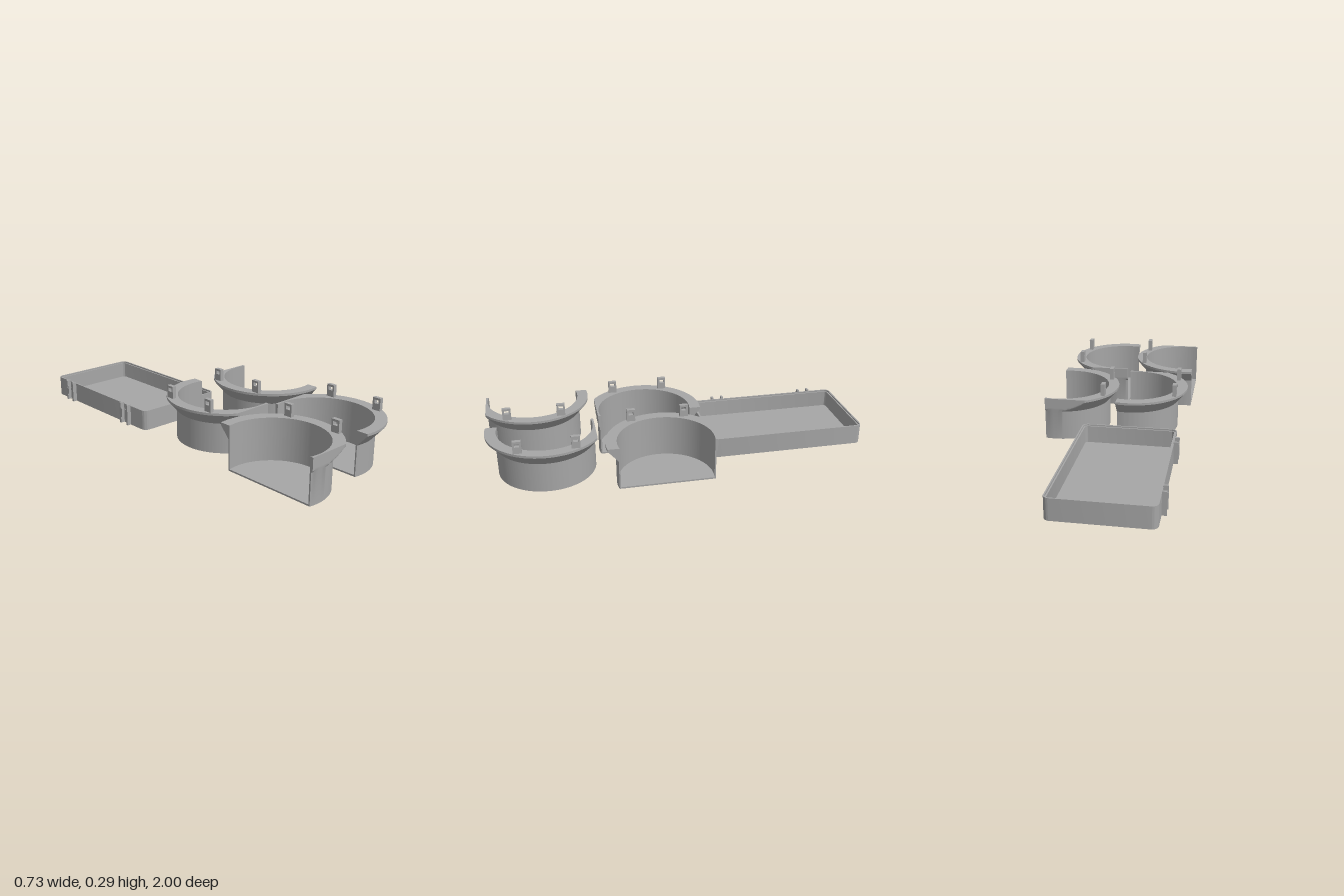
import * as THREE from 'three';
import { toCreasedNormals } from 'three/addons/utils/BufferGeometryUtils.js';

const grey = new THREE.MeshStandardMaterial({ color: 0xa6a6a6 });
grey.name = 'grey plastic';

const CUT = -0.052;   // open flat side of a cup, in x
const CLIP = 0.252;   // where the flange is trimmed, in z
const R_IN = 0.243, R_OUT = 0.25, R_RIM = 0.3;
const H = 0.225, CONE_Y = 0.155, RIM_Y = 0.213;

function add(parent, name, geometry, x = 0, y = 0, z = 0) {
  const mesh = new THREE.Mesh(geometry, grey);
  mesh.name = name;
  mesh.position.set(x, y, z);
  parent.add(mesh);
  return mesh;
}

// Shape in plan (shape y = -z) raised to a height
function raise(shape, height) {
  const g = new THREE.ExtrudeGeometry(shape, { depth: height, bevelEnabled: false, curveSegments: 48 });
  g.rotateX(-Math.PI / 2);
  return toCreasedNormals(g, 0.5);
}

// Closed wall section as [radius, y]; the cone is split into rows
function wallProfile() {
  const p = [[R_OUT, 0]];
  for (let i = 0; i <= 6; i++) {
    const t = i / 6;
    p.push([R_OUT + (R_RIM - R_OUT) * t, CONE_Y + (RIM_Y - CONE_Y) * t]);
  }
  p.push([R_RIM, H], [R_IN, H], [R_IN, 0], [R_OUT, 0]);
  return p;
}

// Wall swept round the arc, trimmed by the plane z = side * CLIP
function wallGeometry(side) {
  const profile = wallProfile(), n = 120, pos = [], idx = [];
  const trim = z => side > 0 ? Math.min(z, CLIP) : Math.max(z, -CLIP);
  for (let i = 0; i <= n; i++) {
    for (const [r, y] of profile) {
      const a = Math.acos(CUT / r) * (2 * i / n - 1);
      pos.push(r * Math.cos(a), y, trim(r * Math.sin(a)));
    }
  }
  const m = profile.length;
  for (let i = 0; i < n; i++) {
    for (let j = 0; j < m - 1; j++) {
      const a = i * m + j, b = a + 1, c = a + m, d = c + 1;
      idx.push(a, b, c, b, d, c);
    }
  }
  const g = new THREE.BufferGeometry();
  g.setAttribute('position', new THREE.Float32BufferAttribute(pos, 3));
  g.setIndex(idx);
  return toCreasedNormals(g, 0.5);
}

// Flat end face of the wall on the open side
function endGeometry(end, side) {
  const pts = wallProfile().slice(0, -1).map(([r, y]) => {
    const z = Math.sqrt(r * r - CUT * CUT);
    return new THREE.Vector2(end * (end === side ? Math.min(z, CLIP) : z), y);
  });
  const g = new THREE.ShapeGeometry(new THREE.Shape(pts));
  g.rotateY(-Math.PI / 2);
  g.translate(CUT, 0, 0);
  return g;
}

// Upright peg with a small window through it, along x
function pegGeometry() {
  const w = 0.0215, h = 0.063;
  const s = new THREE.Shape();
  s.moveTo(-w, 0).lineTo(w, 0).lineTo(w, h).lineTo(-w, h).closePath();
  const hole = new THREE.Path();
  hole.moveTo(-0.012, 0.034).lineTo(-0.012, 0.052).lineTo(0.012, 0.052).lineTo(0.012, 0.034).closePath();
  s.holes.push(hole);
  const g = new THREE.ExtrudeGeometry(s, { depth: 0.021, bevelEnabled: false });
  g.translate(0, 0, -0.0105);
  g.rotateY(Math.PI / 2);
  return g;
}

// Half-round cup, arc towards +x before turning
function cup(name, x, z, side, turn) {
  const g = new THREE.Group();
  g.name = name;
  add(g, 'cupWall', wallGeometry(side));
  for (const end of [-1, 1]) add(g, 'wallEnd', endGeometry(end, side));
  const a = Math.acos(CUT / R_IN);
  const floor = new THREE.Shape();
  floor.absarc(0, 0, R_IN + 0.001, -a, a, false);
  add(g, 'cupFloor', raise(floor, 0.008));
  for (const s of [-1, 1]) add(g, 'peg', pegGeometry(), 0.241, H, s * 0.139);
  g.position.set(x, 0, z);
  g.rotation.y = turn;
  return g;
}

function roundedRect(w, d, r, PathType = THREE.Shape) {
  const s = new PathType(), x = w / 2, y = d / 2;
  s.absarc(x - r, y - r, r, 0, Math.PI / 2, false);
  s.absarc(-x + r, y - r, r, Math.PI / 2, Math.PI, false);
  s.absarc(-x + r, -y + r, r, Math.PI, Math.PI * 1.5, false);
  s.absarc(x - r, -y + r, r, Math.PI * 1.5, Math.PI * 2, false);
  s.closePath();
  return s;
}

function ring(w, d, r, t) {
  const s = roundedRect(w, d, r);
  s.holes.push(roundedRect(w - 2 * t, d - 2 * t, r - t, THREE.Path));
  return s;
}

// Shallow tray with a stepped rim and snap clips on one long side
function tray() {
  const g = new THREE.Group();
  g.name = 'tray';
  const w = 0.492, d = 0.846, r = 0.03, t = 0.007;
  add(g, 'trayFloor', raise(roundedRect(w, d, r), 0.01));
  add(g, 'trayWall', raise(ring(w, d, r, t), 0.097), 0, 0.01, 0);
  add(g, 'innerWall', raise(ring(w - 2 * t, d - 2 * t, r - t, t), 0.089), 0, 0.01, 0);
  for (const z of [-0.265, 0.265]) {
    for (const s of [-1, 1]) {
      add(g, 'clipPost', new THREE.BoxGeometry(0.024, 0.114, 0.012), -w / 2 - 0.011, 0.058, z + s * 0.029);
      add(g, 'clipNub', new THREE.BoxGeometry(0.009, 0.05, 0.011), -w / 2 - 0.018, 0.06, z + s * 0.019);
    }
  }
  g.position.set(-0.095, 0, -0.577);
  return g;
}

export function createModel() {
  const model = new THREE.Group();
  model.name = 'cupsAndTray';
  model.add(
    cup('rearRightCup', -0.065, 0.168, -1, Math.PI),
    cup('rearLeftCup', 0.31, 0.12, 1, Math.PI),
    cup('frontRightCup', -0.312, 0.747, 1, 0),
    cup('frontLeftCup', 0.062, 0.7, -1, 0),
    tray()
  );
  return model;
}
